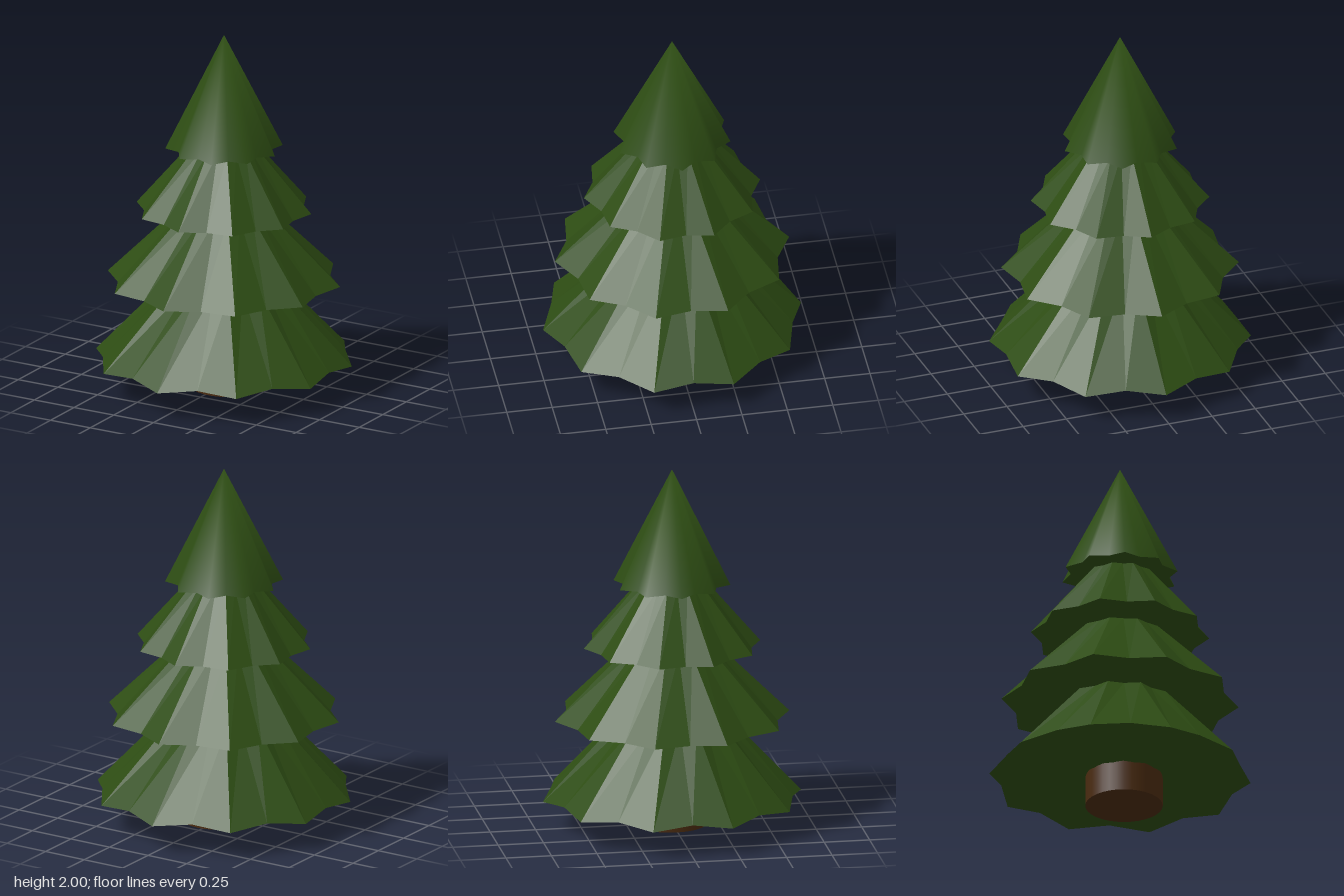
import * as THREE from 'three';

const SIDES = 20; // ten tips and ten valleys

// Star-shaped ring of points; even corners are tips, odd corners valleys
function starRing(tip, valley, tipY, valleyY, turn) {
  const ring = [];
  for (let i = 0; i < SIDES; i++) {
    const a = turn + (i * Math.PI * 2) / SIDES;
    const r = i % 2 ? valley : tip;
    ring.push([Math.sin(a) * r, i % 2 ? valleyY : tipY, Math.cos(a) * r]);
  }
  return ring;
}

function meshFrom(points, index, material, name) {
  const g = new THREE.BufferGeometry();
  g.setAttribute('position', new THREE.Float32BufferAttribute(points.flat(), 3));
  g.setIndex(index);
  g.computeVertexNormals();
  const mesh = new THREE.Mesh(g, material);
  mesh.name = name;
  return mesh;
}

// Closed underside: a fan from the middle to the rim
function underside(rim, y, material) {
  const index = [];
  for (let i = 0; i < SIDES; i++) index.push(SIDES, (i + 1) % SIDES, i);
  return meshFrom([...rim, [0, y, 0]], index, material, 'underside');
}

export function createModel() {
  const tree = new THREE.Group();
  tree.name = 'firTree';
  const flatGreen = new THREE.MeshStandardMaterial({ color: 0x2d4c13, flatShading: true });
  const smoothGreen = new THREE.MeshStandardMaterial({ color: 0x2d4c13 });
  const brown = new THREE.MeshStandardMaterial({ color: 0x4a2b10 });

  // Trunk, slightly off centre
  const trunk = new THREE.Mesh(new THREE.CylinderGeometry(0.21, 0.21, 0.2, 32), brown);
  trunk.position.set(0.027, 0.1, -0.008);
  trunk.name = 'trunk';
  tree.add(trunk);

  // Lower branch tiers: pleated skirts, each ending under the next one
  const tiers = [
    { name: 'bottomTier', tip: 0.71, valley: 0.66, y: 0.155, lift: 0.025, top: [0.285, 0.255], topY: 0.61 },
    { name: 'secondTier', tip: 0.645, valley: 0.578, y: 0.605, lift: 0, top: [0.232, 0.215], topY: 1.015 },
    { name: 'thirdTier', tip: 0.485, valley: 0.435, y: 1.01, lift: 0, top: [0.178, 0.165], topY: 1.37 },
  ];
  for (const t of tiers) {
    const rim = starRing(t.tip, t.valley, t.y, t.y + t.lift, 0);
    const top = starRing(t.top[0], t.top[1], t.topY, t.topY, 0);
    const index = [];
    for (let i = 0; i < SIDES; i++) {
      const j = (i + 1) % SIDES;
      index.push(i, j, SIDES + j, i, SIDES + j, SIDES + i);
    }
    const tier = new THREE.Group();
    tier.name = t.name;
    tier.add(
      meshFrom([...rim, ...top], index, flatGreen, 'branches'),
      underside(rim, t.y + t.lift / 2, flatGreen)
    );
    tree.add(tier);
  }

  // Smooth pointed top, turned by half a pleat
  const rim = starRing(0.32, 0.268, 1.36, 1.365, Math.PI / 10);
  const index = [];
  for (let i = 0; i < SIDES; i++) index.push(i, (i + 1) % SIDES, SIDES);
  const treeTop = new THREE.Group();
  treeTop.name = 'treeTop';
  treeTop.add(
    meshFrom([...rim, [0, 2, 0]], index, smoothGreen, 'pointedTop'),
    underside(rim, 1.36, flatGreen)
  );
  tree.add(treeTop);

  return tree;
}
